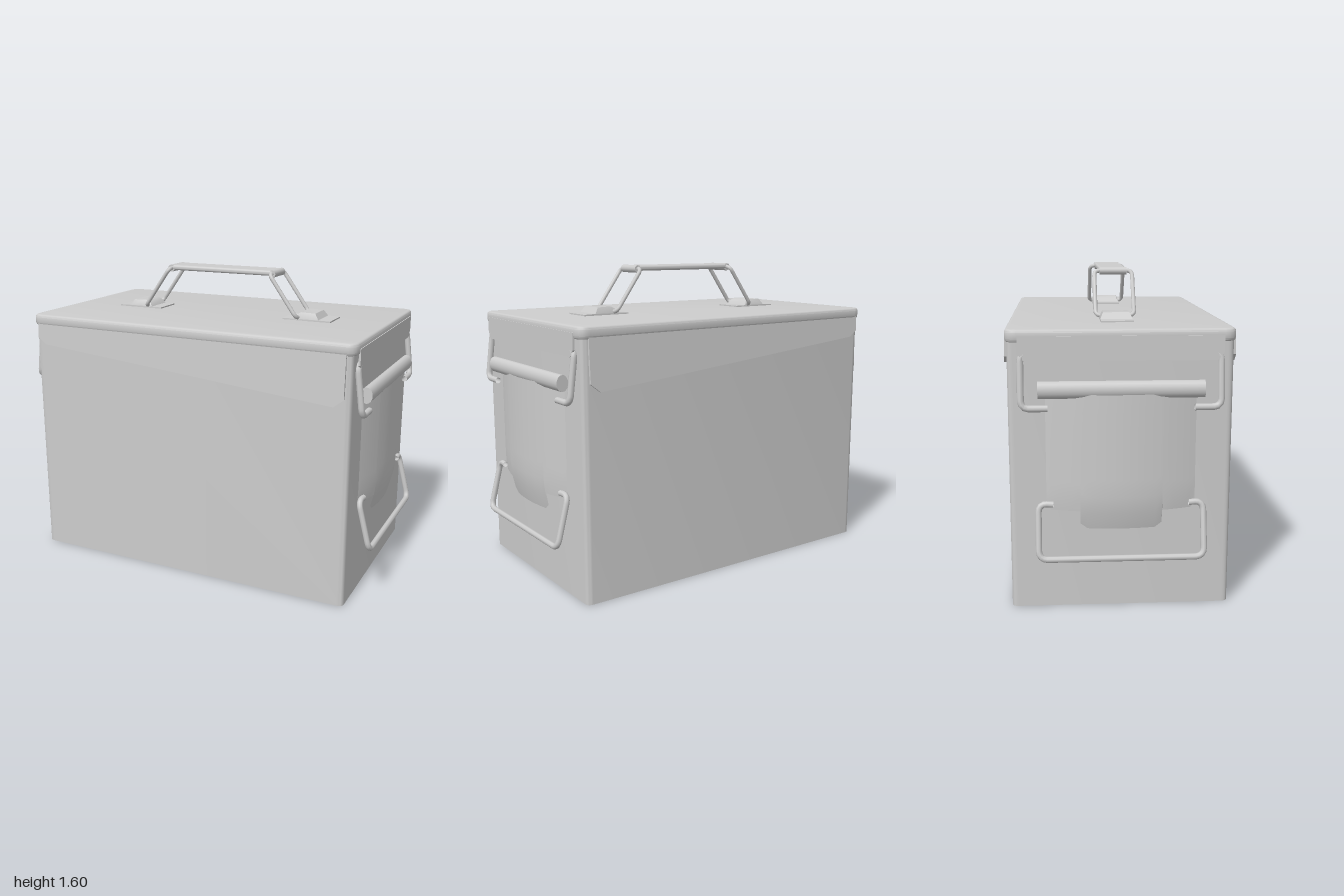
import * as THREE from 'three';
import { toCreasedNormals } from 'three/addons/utils/BufferGeometryUtils.js';
import { RoundedBoxGeometry } from 'three/addons/geometries/RoundedBoxGeometry.js';

const steel = new THREE.MeshStandardMaterial({ color: 0xcccccc, side: THREE.DoubleSide });
steel.name = 'light grey steel';

function part(name, geometry, parent) {
  const mesh = new THREE.Mesh(geometry, steel);
  mesh.name = name;
  parent.add(mesh);
  return mesh;
}

const polygon = (pts) => new THREE.Shape(pts.map(([x, y]) => new THREE.Vector2(x, y)));

// Upright slab with rounded vertical edges and an optional rounded rim
function slab(hx, hz, y0, y1, r, bevel) {
  const a = hx - bevel, b = hz - bevel;
  const s = new THREE.Shape();
  s.moveTo(-a + r, -b);
  s.lineTo(a - r, -b).quadraticCurveTo(a, -b, a, -b + r);
  s.lineTo(a, b - r).quadraticCurveTo(a, b, a - r, b);
  s.lineTo(-a + r, b).quadraticCurveTo(-a, b, -a, b - r);
  s.lineTo(-a, -b + r).quadraticCurveTo(-a, -b, -a + r, -b);
  const g = new THREE.ExtrudeGeometry(s, {
    depth: y1 - y0 - 2 * bevel, curveSegments: 5, bevelEnabled: bevel > 0,
    bevelSize: bevel, bevelThickness: bevel, bevelSegments: 3,
  });
  g.rotateX(-Math.PI / 2).translate(0, y0 + bevel, 0);
  return toCreasedNormals(g, 0.7);
}

// Bent wire: straight runs joined by rounded corners
function wire(points, radius, bend, closed = false) {
  const p = points.map((v) => new THREE.Vector3(...v));
  const n = p.length;
  const toward = (a, b) => a.clone().add(b.clone().sub(a).setLength(bend));
  const path = new THREE.CurvePath();
  let last = closed ? toward(p[0], p[1]) : p[0];
  for (let i = 1; i <= (closed ? n : n - 2); i++) {
    const c = p[i % n], start = toward(c, p[i - 1]), end = toward(c, p[(i + 1) % n]);
    path.add(new THREE.LineCurve3(last, start));
    path.add(new THREE.QuadraticBezierCurve3(start, c, end));
    last = end;
  }
  if (!closed) path.add(new THREE.LineCurve3(last, p[n - 1]));
  return new THREE.TubeGeometry(path, 90, radius, 8, closed);
}

// Bowed latch plate with a stepped, chamfered tab at its lower edge
function latchPlate() {
  const half = [0.03, 0.07, 0.11, 0.16, 0.192, 0.193, 0.24, 0.29, 0.33, 0.352];
  const columns = [...half.map((z) => -z).reverse(), 0, ...half];
  const rows = 8;
  const g = new THREE.PlaneGeometry(1, 1, columns.length - 1, rows);
  const pos = g.attributes.position;
  for (let i = 0; i < pos.count; i++) {
    const z = -columns[i % columns.length], a = Math.abs(z);
    const t = Math.floor(i / columns.length) / rows;
    let bottom = 0.49;
    if (a < 0.1925) bottom = a > 0.165 ? 0.425 : 0.4;
    else if (a > 0.33) bottom = 0.51;
    const y = 1.05 + (bottom - 1.05) * t;
    const curl = Math.max(0, 0.52 - y) * 0.25;
    pos.setXYZ(i, 0.905 + 0.064 * (1 - (a / 0.352) ** 2) - curl, y, z);
  }
  g.computeVertexNormals();
  return g;
}

// Lid flap and clamp hardware for one end
function createEnd() {
  const end = new THREE.Group();
  const flap = new THREE.ExtrudeGeometry(
    polygon([[-0.475, 1.315], [-0.475, 1.235], [-0.445, 1.2], [0.445, 1.2], [0.475, 1.235], [0.475, 1.315]]),
    { depth: 0.01, bevelEnabled: false });
  flap.rotateY(Math.PI / 2).translate(0.912, 0, 0);
  part('endFlap', flap, end);

  part('claspWire', wire([
    [0.938, 0.985, 0.34], [0.938, 0.985, 0.463], [0.906, 1.235, 0.463],
    [0.906, 1.235, -0.463], [0.938, 0.985, -0.463], [0.938, 0.985, -0.34],
  ], 0.016, 0.04), end);

  part('latchPlate', latchPlate(), end);
  const roll = new THREE.CylinderGeometry(0.041, 0.041, 0.77, 16);
  roll.rotateX(Math.PI / 2).scale(0.75, 1, 1).translate(0.932, 1.07, 0);
  part('latchRoll', roll, end);

  part('lowerBail', wire([
    [0.925, 0.52, 0.32], [0.92, 0.525, 0.39], [0.985, 0.27, 0.39],
    [0.985, 0.27, -0.39], [0.92, 0.525, -0.39], [0.925, 0.52, -0.32],
  ], 0.015, 0.045), end);
  return end;
}

// Bracket and wire loop holding one end of the carry handle
function createHandleMount() {
  const mount = new THREE.Group();
  const strap = new THREE.ExtrudeGeometry(polygon([
    [0.37, 1.335], [0.635, 1.335], [0.635, 1.352], [0.57, 1.354], [0.548, 1.385],
    [0.47, 1.387], [0.445, 1.375], [0.43, 1.353], [0.37, 1.352],
  ]), { depth: 0.16, bevelEnabled: false });
  strap.translate(0, 0, -0.08);
  // Pinch the raised middle slightly
  const pos = strap.attributes.position;
  for (let i = 0; i < pos.count; i++) {
    if (pos.getY(i) > 1.36) pos.setZ(i, pos.getZ(i) * 0.82);
  }
  part('handleBracket', toCreasedNormals(strap, 0.6), mount);

  part('handleLoop', wire([
    [0.3, 1.577, 0.098], [0.3, 1.577, -0.098], [0.455, 1.36, -0.098], [0.455, 1.36, 0.098],
  ], 0.011, 0.03, true), mount);
  const curl = new THREE.CylinderGeometry(0.02, 0.02, 0.14, 12);
  curl.rotateX(Math.PI / 2).translate(0.302, 1.576, 0);
  part('gripCurl', curl, mount);
  return mount;
}

export function createModel() {
  const model = new THREE.Group();
  model.name = 'metalStorageBox';

  part('body', slab(0.9, 0.525, 0, 1.32, 0.03, 0), model);
  part('lid', slab(0.918, 0.534, 1.285, 1.345, 0.04, 0.015), model);

  // Slanted lid skirts, flaring outward toward the bottom
  const outline = polygon([
    [-0.88, 1.32], [-0.88, 1.22], [-0.83, 1.185], [0.82, 1.04], [0.87, 1.08], [0.87, 1.32],
  ]);
  for (const side of [1, -1]) {
    const skirt = new THREE.ExtrudeGeometry(outline, { depth: 0.012, bevelEnabled: false });
    const pos = skirt.attributes.position;
    for (let i = 0; i < pos.count; i++) {
      pos.setZ(i, pos.getZ(i) + 0.519 + (1.32 - pos.getY(i)) * 0.055);
    }
    skirt.computeVertexNormals();
    // Mirror by turning the wedge order round
    if (side < 0) {
      skirt.scale(1, 1, -1);
      for (let i = 0; i < pos.count; i += 3) {
        const a = new THREE.Vector3().fromBufferAttribute(pos, i);
        const c = new THREE.Vector3().fromBufferAttribute(pos, i + 2);
        pos.setXYZ(i, c.x, c.y, c.z);
        pos.setXYZ(i + 2, a.x, a.y, a.z);
      }
      skirt.computeVertexNormals();
    }
    part(side > 0 ? 'frontSkirt' : 'backSkirt', skirt, model);
  }

  // Carry handle grip
  const grip = part('handleGrip', new RoundedBoxGeometry(0.62, 0.028, 0.145, 3, 0.012), model);
  grip.position.y = 1.58;

  // Matching hardware on both ends
  for (const [name, turn] of [['left', 0], ['right', Math.PI]]) {
    const end = createEnd();
    end.name = name + 'EndHardware';
    const mount = createHandleMount();
    mount.name = name + 'HandleMount';
    end.rotation.y = mount.rotation.y = turn;
    model.add(end, mount);
  }
  return model;
}
